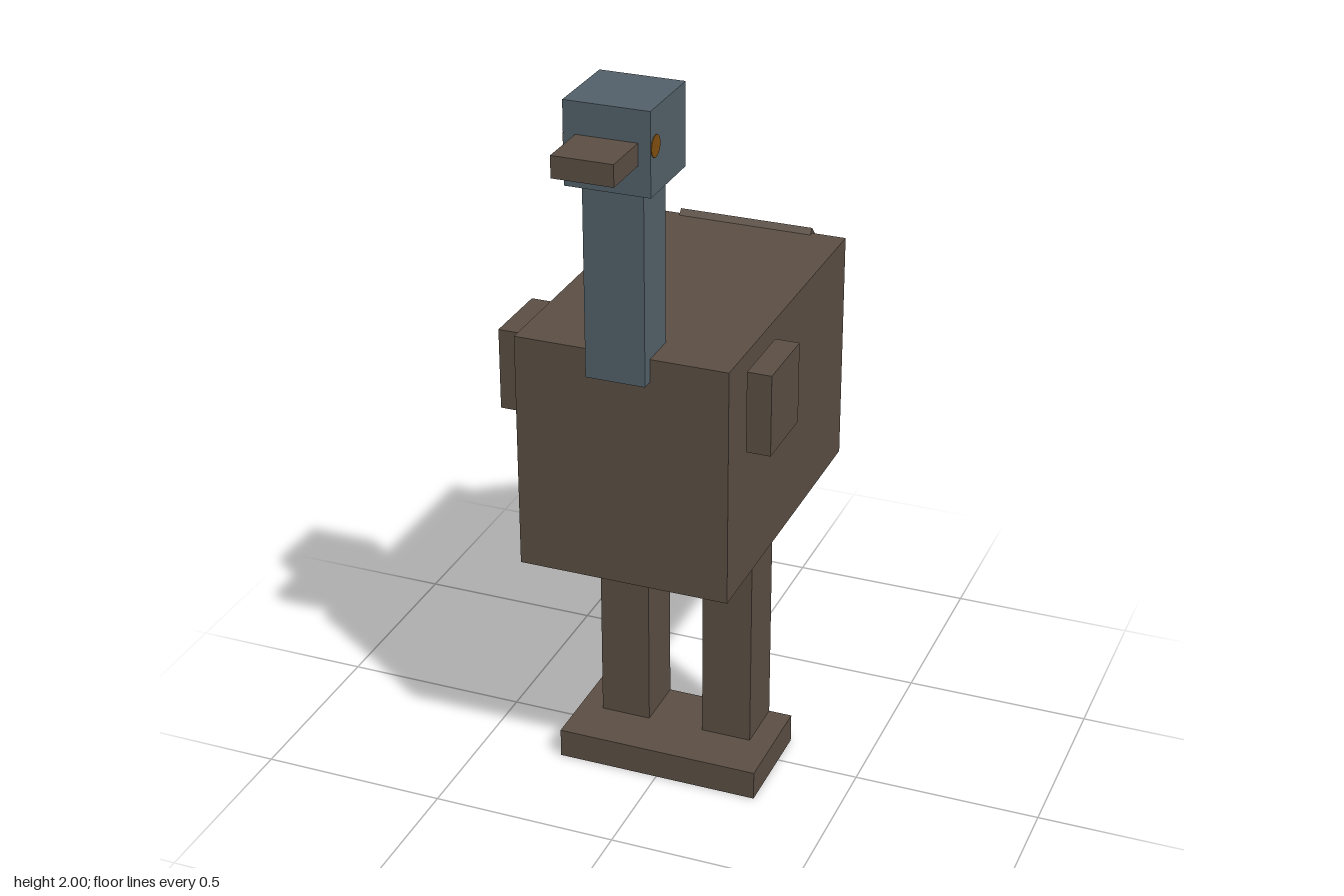
import * as THREE from 'three';

export function createModel() {
  const model = new THREE.Group();
  model.name = 'blockBird';

  const material = (name, color) => {
    const m = new THREE.MeshStandardMaterial({ color });
    m.name = name;
    return m;
  };
  const brown = material('featherBrown', 0x5c4f45);
  const slate = material('slateBlue', 0x54616a);
  const amber = material('amber', 0x82500f);

  // Box given by its limits on each axis
  const box = (name, mat, [x0, x1], [y0, y1], [z0, z1]) => {
    const mesh = new THREE.Mesh(new THREE.BoxGeometry(x1 - x0, y1 - y0, z1 - z0), mat);
    mesh.position.set((x0 + x1) / 2, (y0 + y1) / 2, (z0 + z1) / 2);
    mesh.name = name;
    model.add(mesh);
    return mesh;
  };

  // Central parts
  box('body', brown, [-0.278, 0.278], [0.72, 1.35], [-0.46, 0.407]);
  box('foot', brown, [-0.278, 0.278], [0, 0.08], [-0.103, 0.193]);
  box('neck', slate, [-0.077, 0.077], [1.29, 1.79], [0.305, 0.438]);
  box('head', slate, [-0.108, 0.108], [1.79, 2], [0.254, 0.47]);
  box('beak', brown, [-0.077, 0.077], [1.865, 1.92], [0.469, 0.611]);

  // Tail: square bar turned on its edge, half sunk into the body
  const tail = box('tail', brown, [-0.185, 0.185], [1.105, 1.32], [-0.567, -0.352]);
  tail.rotation.x = Math.PI / 4;

  // Mirrored parts
  for (const [side, s] of [['left', 1], ['right', -1]]) {
    const span = (a, b) => (s > 0 ? [a, b] : [-b, -a]);
    box(side + 'Leg', brown, span(0.077, 0.214), [0.08, 0.72], [-0.103, 0.051]);
    box(side + 'Wing', brown, span(0.294, 0.357), [1.105, 1.32], [0.129, 0.328]);

    // Thin round eye on the side of the head
    const eye = new THREE.Mesh(new THREE.CylinderGeometry(0.027, 0.027, 0.006, 16), amber);
    eye.rotation.z = Math.PI / 2;
    eye.position.set(s * 0.107, 1.908, 0.442);
    eye.name = side + 'Eye';
    model.add(eye);
  }

  return model;
}
